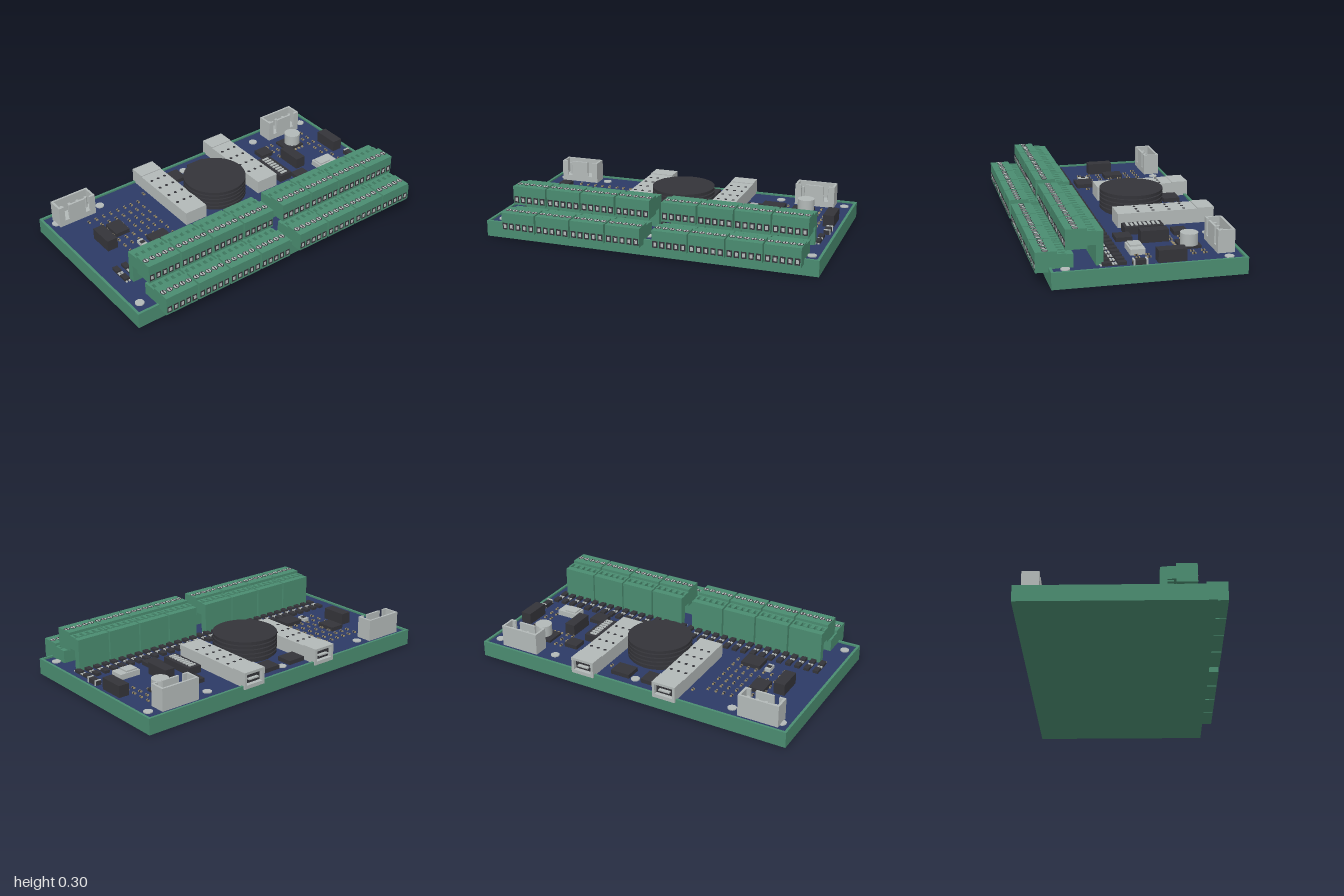
import * as THREE from 'three';

const mat = (name, color) => Object.assign(new THREE.MeshStandardMaterial({ color }), { name });

export function createModel() {
  const green = mat('terminal green', 0x4a8c70);
  const blue = mat('board blue', 0x2c3a66);
  const dark = mat('component black', 0x343439);
  const grey = mat('connector grey', 0xb3b9b8);
  const tan = mat('solder tan', 0x9a8d6e);

  const model = new THREE.Group();
  model.name = 'controllerBoard';
  const group = (name, parent = model) => {
    const g = new THREE.Group();
    g.name = name;
    parent.add(g);
    return g;
  };
  const unit = new THREE.BoxGeometry(1, 1, 1);
  // Box given by its limits on each axis
  const box = (parent, name, m, x0, x1, y0, y1, z0, z1) => {
    const b = new THREE.Mesh(unit, m);
    b.name = name;
    b.scale.set(x1 - x0, y1 - y0, z1 - z0);
    b.position.set((x0 + x1) / 2, (y0 + y1) / 2, (z0 + z1) / 2);
    parent.add(b);
    return b;
  };
  const cyl = (parent, name, m, x, z, r, y0, y1, seg = 24) => {
    const c = new THREE.Mesh(new THREE.CylinderGeometry(r, r, y1 - y0, seg), m);
    c.name = name;
    c.position.set(x, (y0 + y1) / 2, z);
    parent.add(c);
    return c;
  };
  const P = 0.085; // board surface height

  // Tray with a raised rim around the board
  const tray = group('tray');
  box(tray, 'trayFloor', green, -0.565, 0.505, 0, 0.06, -1, 1);
  for (const [a, b] of [[-0.565, -0.55], [0.49, 0.505]]) box(tray, 'traySide', green, a, b, 0.06, 0.095, -1, 1);
  for (const [a, b] of [[-1, -0.985], [0.985, 1]]) box(tray, 'trayEnd', green, -0.55, 0.49, 0.06, 0.095, a, b);
  box(model, 'circuitBoard', blue, -0.55, 0.49, 0.06, P, -0.985, 0.985);

  // Mounting screws
  const screws = group('mountingScrews');
  for (const [x, z] of [[-0.475, -0.94], [0.42, -0.94], [-0.475, -0.54], [-0.475, 0.015],
    [0.42, 0.015], [-0.475, 0.635], [-0.475, 0.935], [0.42, 0.935]]) {
    cyl(screws, 'mountingScrew', grey, x, z, 0.026, P, P + 0.006);
  }

  // Pluggable terminal block: header wall, slotted bridge and plug with screws
  const pins = 5, blockLength = 0.206, pitch = blockLength / pins;
  const screwGeo = new THREE.CylinderGeometry(0.014, 0.014, 0.003, 14);
  const wellGeo = new THREE.CylinderGeometry(0.018, 0.018, 0.002, 14);
  function terminal(x, top, z0) {
    const g = group('terminalBlock');
    const z1 = z0 + blockLength;
    box(g, 'headerWall', green, x, x + 0.04, P, top - 0.021, z0, z1);
    box(g, 'bridgeRail', green, x + 0.076, x + 0.09, top - 0.095, top - 0.016, z0, z1);
    box(g, 'plugBody', green, x + 0.088, x + 0.204, top - 0.113, top, z0, z1);
    for (let i = 0; i <= pins; i++) {
      const z = Math.min(Math.max(z0 + i * pitch, z0 + 0.006), z1 - 0.006);
      const h = i % pins ? 0.011 : 0.006;
      box(g, 'bridgeRib', green, x + 0.038, x + 0.08, top - 0.095, top - 0.016, z - h, z + h);
    }
    for (let i = 0; i < pins; i++) {
      const z = z0 + (i + 0.5) * pitch, sx = x + 0.148;
      const well = new THREE.Mesh(wellGeo, dark);
      well.name = 'screwWell';
      well.position.set(sx, top, z);
      const screw = new THREE.Mesh(screwGeo, grey);
      screw.name = 'clampScrew';
      screw.position.set(sx, top + 0.001, z);
      g.add(well, screw);
      box(g, 'screwSlot', dark, sx - 0.012, sx + 0.012, top + 0.001, top + 0.0035, z - 0.003, z + 0.003);
      box(g, 'wireOpening', dark, x + 0.2, x + 0.205, top - 0.1, top - 0.06, z - 0.015, z + 0.015);
      box(g, 'wireClamp', grey, x + 0.2, x + 0.206, top - 0.091, top - 0.069, z - 0.008, z + 0.008);
    }
  }
  for (let i = 0; i < 8; i++) {
    const z0 = i < 4 ? -0.916 + i * 0.2155 : 0.009 + (i - 4) * 0.2165;
    terminal(0.211, 0.295, z0);
    terminal(0.371, 0.181, z0);
  }

  // Column of surface-mount parts beside the terminals
  const column = group('channelParts');
  for (let i = 0; i < 32; i++) {
    const z = -0.925 + i * 0.0584;
    box(column, 'channelDiode', dark, 0.09, 0.138, P, 0.102, z - 0.016, z + 0.016);
    box(column, 'channelChip', dark, 0.172, 0.222, P, 0.102, z - 0.016, z + 0.016);
    for (const s of [-0.009, 0.009]) {
      box(column, 'channelPad', grey, 0.142, 0.152, P, 0.095, z + s - 0.006, z + s + 0.006);
      box(column, 'channelPad', grey, 0.157, 0.167, P, 0.095, z + s - 0.006, z + s + 0.006);
      box(column, 'channelLead', grey, 0.224, 0.234, P, 0.092, z + s - 0.005, z + s + 0.005);
    }
    box(column, 'channelBase', dark, 0.138, 0.172, P, 0.09, z - 0.016, z + 0.016);
  }

  // Long grey modules with vent holes and an open socket at the outer end
  for (const zc of [-0.282, 0.256]) {
    const g = group('socketModule');
    box(g, 'moduleBody', grey, -0.475, 0, P, 0.17, zc - 0.073, zc + 0.073);
    box(g, 'socketTop', grey, -0.575, -0.475, 0.16, 0.175, zc - 0.073, zc + 0.073);
    box(g, 'socketBottom', grey, -0.575, -0.475, 0.076, 0.098, zc - 0.073, zc + 0.073);
    for (const s of [-1, 1]) box(g, 'socketSide', grey, -0.575, -0.475, 0.098, 0.16, zc + s * 0.065 - 0.008, zc + s * 0.065 + 0.008);
    box(g, 'socketInside', dark, -0.55, -0.475, 0.098, 0.16, zc - 0.057, zc + 0.057);
    box(g, 'socketTongue', grey, -0.57, -0.55, 0.122, 0.13, zc - 0.035, zc + 0.035);
    for (const x of [-0.4, -0.31, -0.216, -0.125]) {
      for (const dz of [-0.047, 0, 0.047]) cyl(g, 'ventHole', dark, x, zc + dz, 0.009, 0.169, 0.172, 12);
    }
  }

  // Round ribbed coil
  const coil = group('coil');
  cyl(coil, 'coilCore', dark, -0.165, 0, 0.175, P, 0.21, 48);
  for (let i = 0; i < 5; i++) cyl(coil, 'coilRib', dark, -0.165, 0, 0.19, 0.2 - i * 0.0255, 0.218 - i * 0.0255, 48);

  // Open four-pin power connectors
  for (const zc of [-0.76, 0.812]) {
    const g = group('powerConnector');
    const z0 = zc - 0.122, z1 = zc + 0.122;
    box(g, 'connectorFloor', grey, -0.525, -0.428, P, 0.12, z0, z1);
    box(g, 'connectorOuterWall', grey, -0.525, -0.512, 0.12, 0.216, z0 + 0.012, z1 - 0.012);
    for (const [a, b] of [[z0, zc - 0.085], [zc - 0.055, zc + 0.055], [zc + 0.085, z1]]) {
      box(g, 'connectorInnerWall', grey, -0.441, -0.428, 0.12, 0.216, a, b);
    }
    for (const [a, b] of [[z0, z0 + 0.013], [z1 - 0.013, z1]]) box(g, 'connectorEndWall', grey, -0.525, -0.428, 0.12, 0.216, a, b);
    for (let i = 0; i < 4; i++) cyl(g, 'powerPin', grey, -0.476, zc - 0.083 + i * 0.055, 0.01, 0.12, 0.19, 12);
  }

  // Black components: x0, x1, z0, z1, top
  const chips = group('chips');
  for (const [x0, x1, z0, z1, top] of [
    [-0.235, -0.078, -0.955, -0.89, 0.155], [-0.225, -0.065, -0.635, -0.57, 0.155],
    [-0.22, -0.065, 0.765, 0.832, 0.155], [-0.02, 0.06, -0.96, -0.925, 0.112],
    [-0.37, -0.252, -0.78, -0.65, 0.1], [-0.36, -0.28, -0.55, -0.465, 0.11],
    [-0.028, 0.066, -0.585, -0.495, 0.11], [-0.49, -0.39, -0.14, -0.02, 0.11],
    [-0.49, -0.39, 0.06, 0.175, 0.11], [-0.035, 0.07, 0.47, 0.59, 0.11],
    [-0.265, -0.147, 0.632, 0.722, 0.11],
  ]) box(chips, 'chip', dark, x0, x1, P, top, z0, z1);
  for (const x of [-0.02, 0.05]) box(chips, 'buttonBracket', grey, x, x + 0.01, P, 0.116, -0.964, -0.925);

  // Capacitor, small grey plug and indicator
  cyl(model, 'capacitor', grey, -0.31, -0.735, 0.05, 0.1, 0.168, 32);
  const plug = group('smallPlug');
  box(plug, 'plugBase', grey, -0.045, 0.04, P, 0.118, -0.812, -0.68);
  box(plug, 'plugRidge', grey, -0.035, 0.03, 0.118, 0.127, -0.765, -0.69);
  const led = group('indicator');
  box(led, 'indicatorBody', grey, -0.032, 0.03, P, 0.105, 0.62, 0.656);
  box(led, 'indicatorLens', dark, -0.013, 0.011, 0.105, 0.108, 0.624, 0.652);

  // Eight-way switch bank
  const bank = group('switchBank');
  box(bank, 'switchBody', dark, -0.24, -0.01, P, 0.13, -0.482, -0.395);
  for (let i = 0; i < 8; i++) {
    const x = -0.213 + i * 0.0255;
    box(bank, 'switchSlider', grey, x - 0.007, x + 0.007, 0.13, 0.136, -0.46, -0.415);
  }

  // Rows of tiny resistors: z, first x, count
  const rows = group('resistors');
  for (const [z, first, count] of [[-0.86, -0.365, 7], [-0.82, -0.365, 7], [-0.612, -0.365, 3], [-0.572, -0.365, 3],
    [0.43, -0.365, 7], [0.48, -0.365, 6], [0.526, -0.365, 7], [0.576, -0.365, 7],
    [0.626, -0.365, 6], [0.676, -0.365, 6], [0.726, -0.365, 7], [0.776, -0.365, 1],
    [-0.18, -0.415, 1], [0.358, -0.415, 1]]) {
    for (let i = 0; i < count; i++) {
      const x = first + i * 0.0625;
      box(rows, 'resistor', dark, x - 0.006, x + 0.006, P, 0.093, z - 0.005, z + 0.005);
      for (const s of [-1, 1]) box(rows, 'resistorEnd', tan, x + s * 0.008 - 0.003, x + s * 0.008 + 0.003, P, 0.094, z - 0.006, z + 0.006);
    }
  }
  for (let i = 0; i < 5; i++) box(rows, 'sidePad', tan, -0.245, -0.232, P, 0.092, -0.77 + i * 0.028, -0.758 + i * 0.028);

  return model;
}
